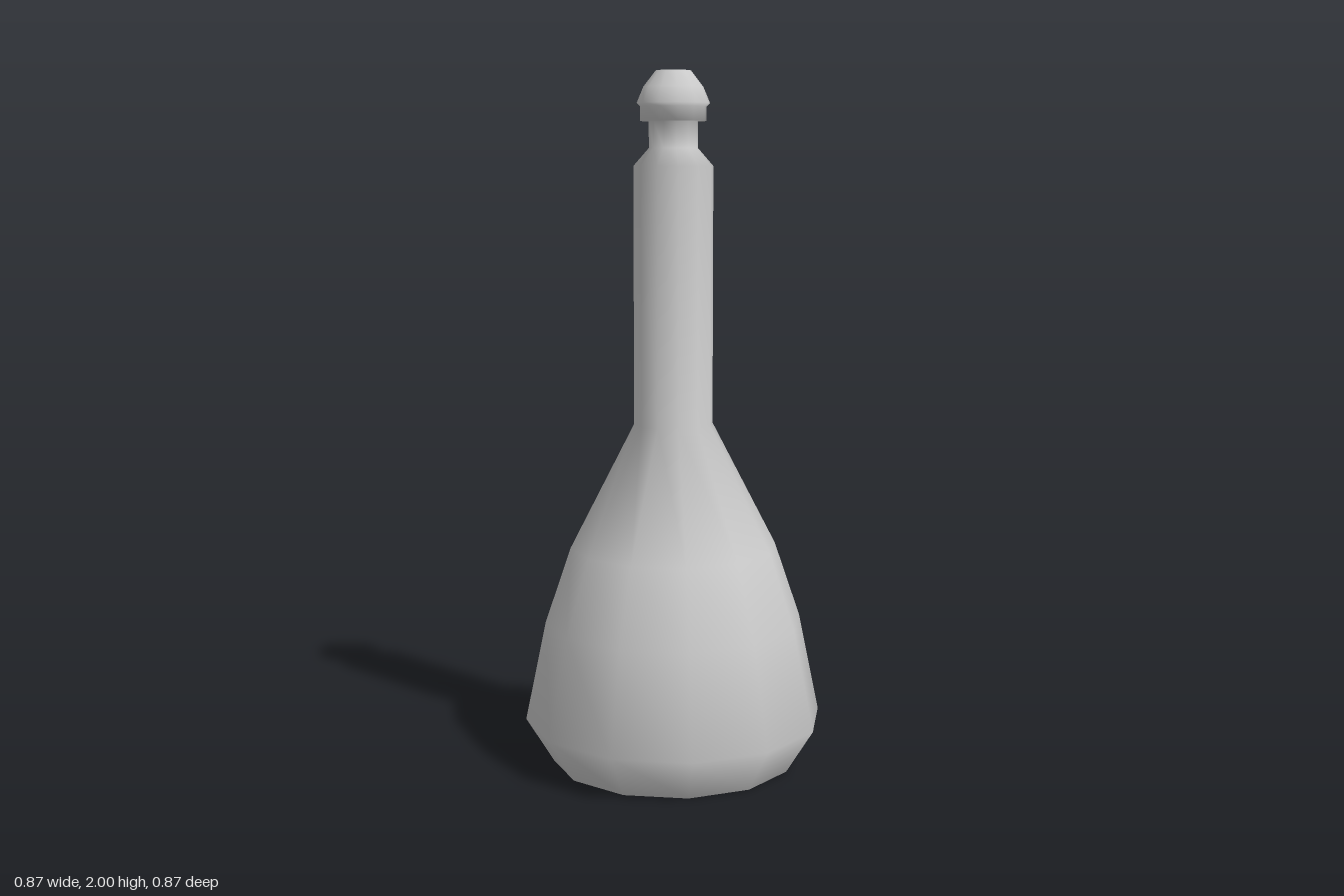
import * as THREE from 'three';

const SIDES = 12;

// Wall profile from the base edge up to the stopper's top edge: [radius, height]
const PROFILE = [
  [0.355, 0], [0.435, 0.13], [0.375, 0.42], [0.3, 0.64],
  [0.114, 1.0], [0.114, 1.735], [0.07, 1.785], [0.07, 1.86],
  [0.094, 1.86], [0.094, 1.9], [0.104, 1.91], [0.085, 1.955],
  [0.05, 2.0],
];

export function createModel() {
  const group = new THREE.Group();
  group.name = 'bottle';
  const material = new THREE.MeshStandardMaterial({ color: 0xcccccc });

  const add = (name, geometry) => {
    const mesh = new THREE.Mesh(geometry, material);
    mesh.name = name;
    group.add(mesh);
    return mesh;
  };

  // Flask, neck and stopper turned as one smooth wall
  const points = PROFILE.map(([r, y]) => new THREE.Vector2(r, y));
  add('bottleWall', new THREE.LatheGeometry(points, SIDES));

  // Flat discs closing the base and the stopper
  add('base', new THREE.CircleGeometry(0.355, SIDES)).rotation.x = Math.PI / 2;
  const top = add('stopperTop', new THREE.CircleGeometry(0.05, SIDES));
  top.rotation.x = -Math.PI / 2;
  top.position.y = 2;

  return group;
}
